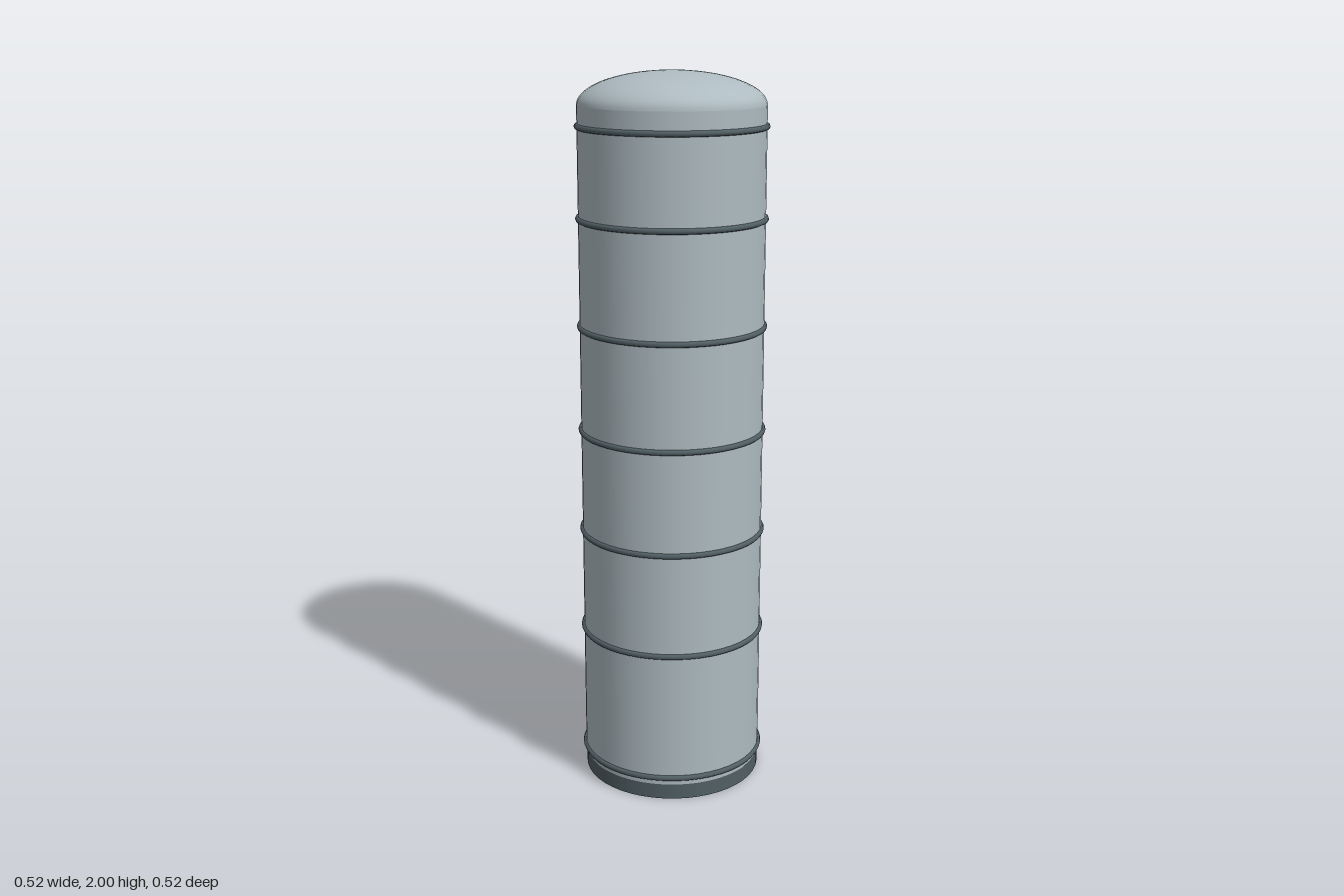
import * as THREE from 'three';

export function createModel() {
  const model = new THREE.Group();
  const shell = new THREE.MeshStandardMaterial({ color: 0xaebbc1 });
  shell.name = 'pale grey steel';
  const trim = new THREE.MeshStandardMaterial({ color: 0x515f64 });
  trim.name = 'dark grey steel';

  const R = 0.254;
  const SEGMENTS = 48;

  function add(parent, name, geometry, material, x = 0, y = 0, z = 0) {
    const mesh = new THREE.Mesh(geometry, material);
    mesh.name = name;
    mesh.position.set(x, y, z);
    parent.add(mesh);
    return mesh;
  }

  // Base skirt
  add(model, 'baseSkirt', new THREE.CylinderGeometry(0.252, 0.252, 0.045, SEGMENTS), trim, 0, 0.0225, 0);

  // Cylindrical wall
  const wallBottom = 0.045, wallTop = 1.91;
  add(model, 'tankWall',
    new THREE.CylinderGeometry(R, R, wallTop - wallBottom, SEGMENTS, 1, true),
    shell, 0, (wallTop + wallBottom) / 2, 0);
  const floor = add(model, 'tankFloor', new THREE.CircleGeometry(R, SEGMENTS), shell, 0, wallBottom, 0);
  floor.rotation.x = Math.PI / 2;

  // Elliptical dome
  const profile = [];
  for (let i = 0; i <= 16; i++) {
    const a = (i / 16) * Math.PI / 2;
    profile.push(new THREE.Vector2(i === 16 ? 0 : R * Math.cos(a), wallTop + 0.09 * Math.sin(a)));
  }
  add(model, 'dome', new THREE.LatheGeometry(profile, SEGMENTS), shell);

  // Reinforcing bands
  const bands = new THREE.Group();
  bands.name = 'bands';
  model.add(bands);
  const bandGeometry = new THREE.TorusGeometry(R, 0.008, 8, SEGMENTS).rotateX(Math.PI / 2);
  for (const y of [0.065, 0.435, 0.73, 1.022, 1.315, 1.61, 1.855]) {
    add(bands, 'band', bandGeometry, trim, 0, y, 0);
  }

  // Ladder on the back
  const ladder = new THREE.Group();
  ladder.name = 'ladder';
  ladder.position.set(-0.013, 0, -0.256);
  model.add(ladder);
  const bottom = 0.065, top = 1.81;
  const railGeometry = new THREE.CylinderGeometry(0.005, 0.005, top - bottom, 8);
  for (const side of [-1, 1]) {
    add(ladder, 'ladderRail', railGeometry, trim, side * 0.05, (top + bottom) / 2, 0);
  }
  const rungGeometry = new THREE.CylinderGeometry(0.0035, 0.0035, 0.1, 6).rotateZ(Math.PI / 2);
  for (let i = 0; i < 23; i++) {
    add(ladder, 'ladderRung', rungGeometry, trim, 0, 0.105 + i * 0.075, 0);
  }

  // Small outlet stub beside the ladder
  const outlet = add(model, 'outletStub', new THREE.CylinderGeometry(0.014, 0.014, 0.02, 12), trim, 0.082, 0.325, -0.239);
  outlet.rotation.x = Math.PI / 2;

  return model;
}
